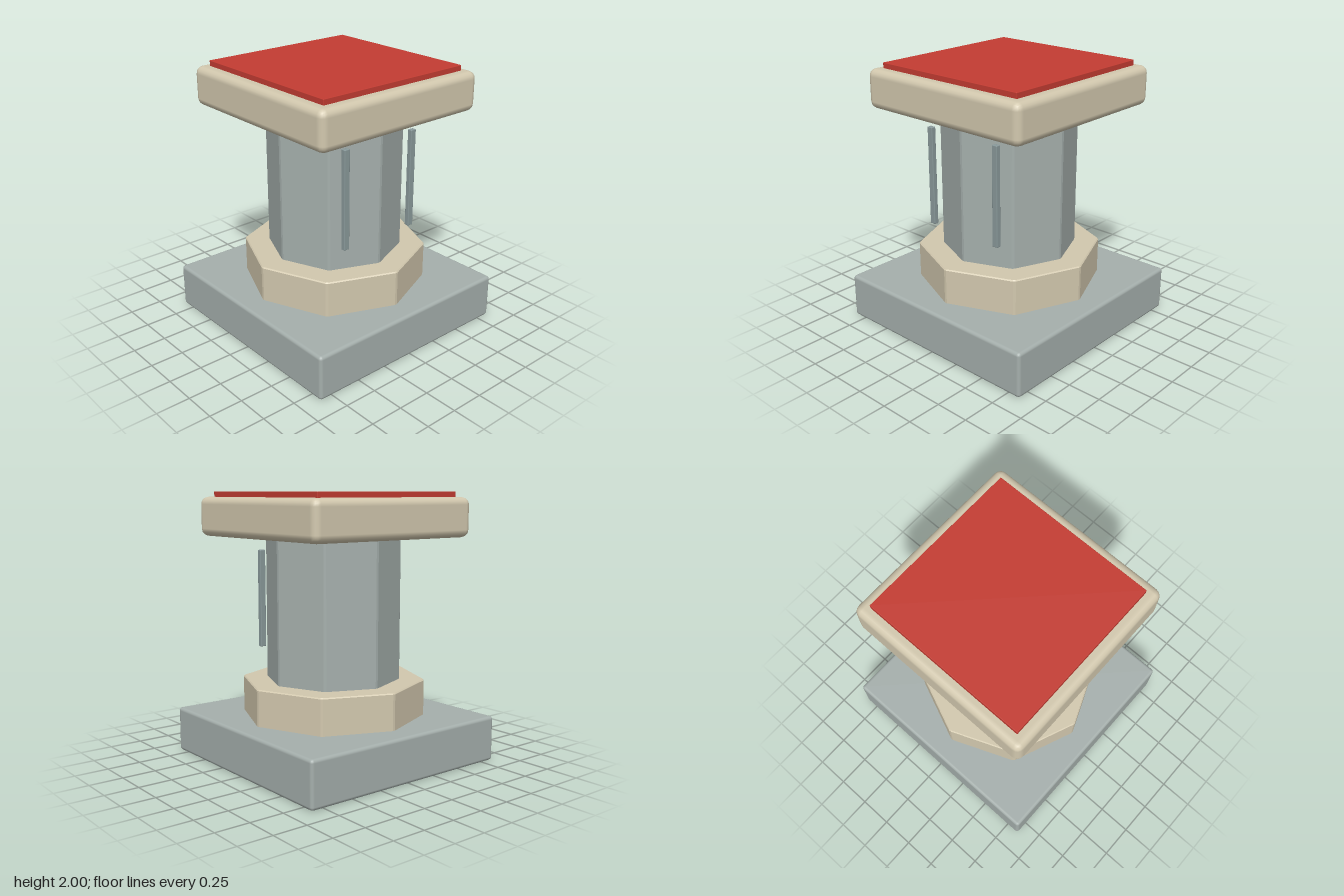
import * as THREE from 'three';
import { RoundedBoxGeometry } from 'three/addons/geometries/RoundedBoxGeometry.js';

const material = (color, flatShading = false) => new THREE.MeshStandardMaterial({ color, flatShading });
const STONE = 0xa5afac, CREAM = 0xd2c8ae, STEEL = 0x8a9a9b, RED = 0xc43c32;

export function createModel() {
  const model = new THREE.Group();

  function add(name, geometry, mat, x, y, z) {
    const mesh = new THREE.Mesh(geometry, mat);
    mesh.name = name;
    mesh.position.set(x, y, z);
    model.add(mesh);
  }

  // box with softened edges, standing between heights y0 and y1
  function slab(name, width, depth, y0, y1, radius, color, x = 0, z = 0) {
    const geometry = new RoundedBoxGeometry(width, y1 - y0, depth, 2, radius);
    add(name, geometry, material(color), x, (y0 + y1) / 2, z);
  }

  // octagonal prism with narrow bevels on all its edges, corners facing the axes
  function octagon(name, radius, y0, y1, bevel, color) {
    const inner = radius - bevel;
    const points = [];
    for (let i = 0; i < 8; i++) {
      for (const side of [-1, 1]) {
        const a = i * Math.PI / 4 + side * bevel / radius;
        points.push(new THREE.Vector2(Math.cos(a) * inner, Math.sin(a) * inner));
      }
    }
    const geometry = new THREE.ExtrudeGeometry(new THREE.Shape(points), {
      depth: y1 - y0 - 2 * bevel, bevelEnabled: true,
      bevelSize: bevel, bevelThickness: bevel, bevelSegments: 1,
    });
    geometry.rotateX(-Math.PI / 2);
    add(name, geometry, material(color, true), 0, y0 + bevel, 0);
  }

  // plinth, collar and column
  slab('base', 1.71, 1.71, 0, 0.34, 0.025, STONE);
  octagon('collar', 0.685, 0.33, 0.61, 0.008, CREAM);
  octagon('column', 0.5, 0.6, 1.69, 0.008, STONE);

  // pair of upright strips standing off the front of the column
  for (const side of [-1, 1]) {
    slab('frontStrip', 0.047, 0.036, 0.815, 1.56, 0.005, STEEL, side * 0.313, 0.481);
  }

  // capital and the red pad on it
  slab('capital', 1.43, 1.43, 1.67, 1.96, 0.055, CREAM);
  slab('topPad', 1.26, 1.26, 1.955, 2, 0.004, RED);

  return model;
}
